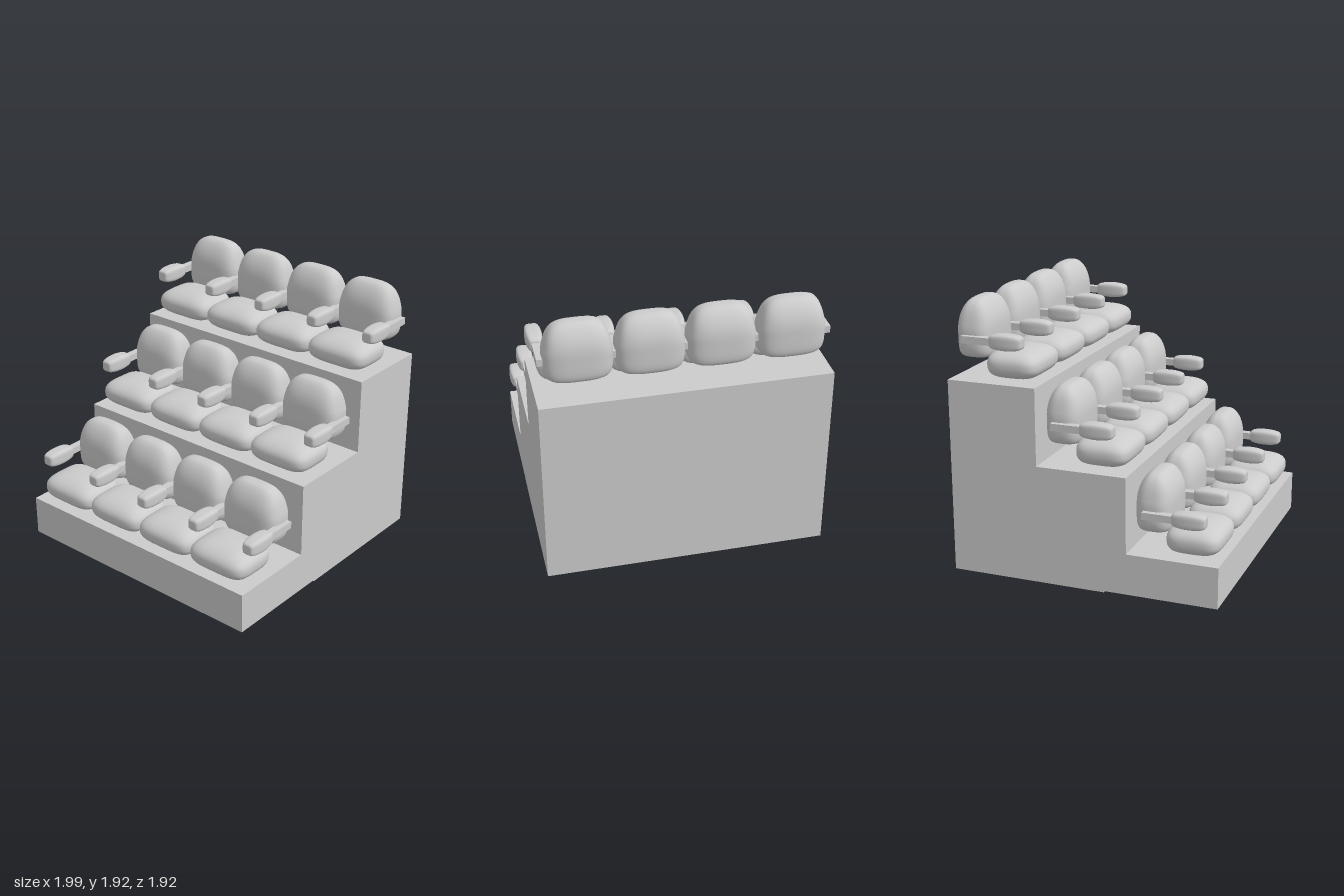
import * as THREE from 'three';
import { mergeVertices } from 'three/addons/utils/BufferGeometryUtils.js';

const grey = new THREE.MeshStandardMaterial({ color: 0xcccccc });

// Pillow: a cube pushed onto a superellipsoid. a rounds the plan (x, z),
// top and bottom round the upper and lower halves; shape(v) then bends the unit form.
function cushion(w, h, d, a, top, bottom, shape, seg = 14) {
  const box = new THREE.BoxGeometry(2, 2, 2, seg, seg, seg);
  box.deleteAttribute('uv');
  box.deleteAttribute('normal');
  const geo = mergeVertices(box);
  const pos = geo.attributes.position;
  const v = new THREE.Vector3();
  for (let i = 0; i < pos.count; i++) {
    v.fromBufferAttribute(pos, i);
    const b = v.y < 0 ? bottom : top;
    const plan = Math.pow(Math.abs(v.x) ** a + Math.abs(v.z) ** a, b / a);
    v.divideScalar(Math.pow(plan + Math.abs(v.y) ** b, 1 / b));
    shape(v);
    pos.setXYZ(i, v.x * w / 2, v.y * h / 2, v.z * d / 2);
  }
  geo.computeVertexNormals();
  return geo;
}

function addMesh(parent, name, geo, x, y, z) {
  const mesh = new THREE.Mesh(geo, grey);
  mesh.name = name;
  mesh.position.set(x, y, z);
  parent.add(mesh);
}

export function createModel() {
  const model = new THREE.Group();
  model.name = 'tieredSeating';

  // Stepped platform, side profile as (z, y)
  const profile = [
    [0.96, 0.01], [0.96, 0.3], [0.32, 0.3], [0.32, 0.835], [-0.32, 0.835],
    [-0.32, 1.375], [-0.96, 1.375], [-0.96, 0], [0.16, 0], [0.16, 0.01],
  ].map(([z, y]) => new THREE.Vector2(z, y));
  const steps = new THREE.ExtrudeGeometry(new THREE.Shape(profile), { depth: 1.97, bevelEnabled: false });
  steps.rotateY(-Math.PI / 2);
  addMesh(model, 'platform', steps, 0.985, 0, 0);

  // Seat: nose thins towards the front
  const seat = cushion(0.475, 0.21, 0.385, 4.5, 2.6, 2.8, (v) => {
    if (v.z > 0) v.y *= 1 - 0.15 * v.z * v.z;
  });

  // Backrest: flat foot, narrowing and thinning towards the top
  const back = cushion(0.455, 0.405, 0.265, 3.2, 4, 6, (v) => {
    const t = Math.max(0, v.y);
    v.x *= 1 - 0.2 * t;
    v.z *= 1 - 0.48 * t * t;
  });

  // Arm pad: blunt ends, fuller in the middle
  const pad = cushion(0.112, 0.232, 0.11, 4.5, 9, 9, (v) => {
    const s = 1 - 0.24 * v.y * v.y;
    v.x *= s;
    v.z *= s;
  }, 10);
  pad.rotateX(Math.PI / 2);
  const bar = new THREE.BoxGeometry(0.055, 0.05, 0.23);

  // Three rows of four seats sharing five armrests
  for (let r = 0; r < 3; r++) {
    const row = new THREE.Group();
    row.name = `row${r + 1}`;
    row.position.set(0, 0.5375 * r, -0.64 * r);
    for (let i = 0; i < 4; i++) {
      const x = (i - 1.5) * 0.469;
      addMesh(row, 'seat', seat, x, 0.408, 0.748);
      addMesh(row, 'backrest', back, x, 0.638, 0.468);
    }
    for (let i = 0; i < 5; i++) {
      const x = (i - 2) * 0.47;
      addMesh(row, 'armPad', pad, x, 0.584, 0.745);
      addMesh(row, 'armBar', bar, x, 0.58, 0.535);
    }
    model.add(row);
  }
  return model;
}
